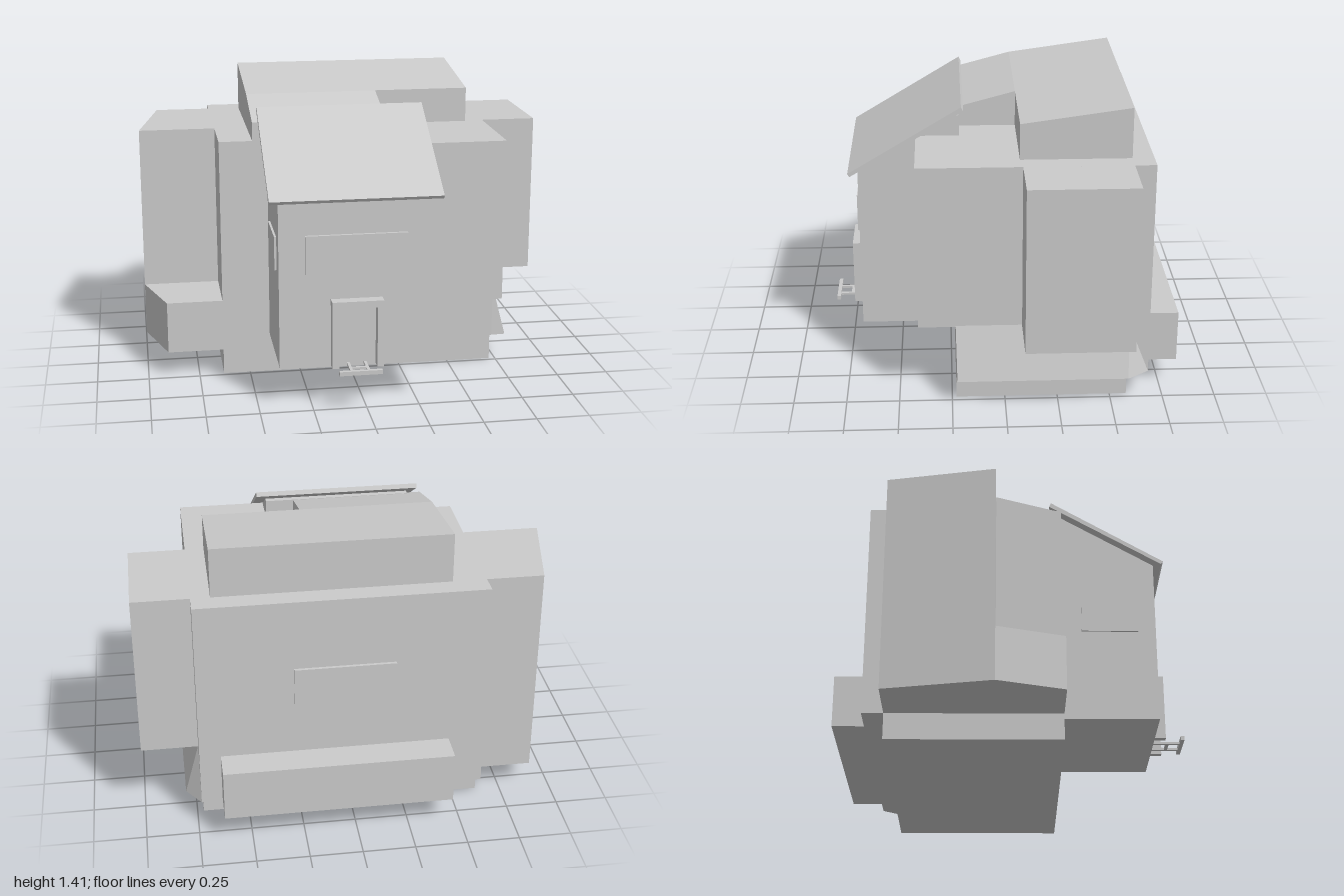
import * as THREE from 'three';

export function createModel() {
  const model = new THREE.Group();
  const material = new THREE.MeshStandardMaterial({ color: 0xcccccc, flatShading: true });

  const add = (name, geometry) => {
    const mesh = new THREE.Mesh(geometry, material);
    mesh.name = name;
    model.add(mesh);
    return mesh;
  };

  // Box given by its extents on each axis
  const box = (name, x0, x1, y0, y1, z0, z1) => {
    const g = new THREE.BoxGeometry(x1 - x0, y1 - y0, z1 - z0);
    return add(name, g.translate((x0 + x1) / 2, (y0 + y1) / 2, (z0 + z1) / 2));
  };

  // Floor plan of [x, z] corners raised from y0 to y1
  const raisePlan = (plan, y0, y1) => {
    const shape = new THREE.Shape(plan.map(([x, z]) => new THREE.Vector2(x, -z)));
    return new THREE.ExtrudeGeometry(shape, { depth: y1 - y0, bevelEnabled: false })
      .rotateX(-Math.PI / 2).translate(0, y0, 0);
  };

  // Side profile of [z, y] corners stretched from x0 to x1
  const stretchProfile = (profile, x0, x1) => {
    const shape = new THREE.Shape(profile.map(([z, y]) => new THREE.Vector2(-z, y)));
    return new THREE.ExtrudeGeometry(shape, { depth: x1 - x0, bevelEnabled: false })
      .rotateY(Math.PI / 2).translate(x0, 0, 0);
  };

  // Foundation
  box('foundation', -0.63, 0.72, 0.005, 0.14, -0.58, 0.23);

  // Lower storey, flaring outwards to the floor on one side
  const skirt = raisePlan(
    [[-0.63, -0.68], [0.73, -0.68], [0.8, -0.58], [0.8, 0.225], [0.73, 0.23], [-0.63, 0.23]], 0.13, 0.39);
  const p = skirt.attributes.position;
  for (let i = 0; i < p.count; i++) {
    if (p.getY(i) > 0.3) p.setX(i, Math.min(p.getX(i), 0.73));
  }
  skirt.computeVertexNormals();
  add('lowerWalls', skirt);

  // Main walls with the overhanging front bay
  add('mainWalls', raisePlan(
    [[-0.63, -0.68], [0.73, -0.68], [0.73, 0.405], [0.17, 0.405], [0.17, 0.23], [-0.63, 0.23]], 0.385, 1.18));

  // Side wings
  box('leftWing', 0.72, 1, 0.385, 1.18, -0.58, -0.08);
  add('rightWing', raisePlan([[-0.62, -0.58], [-0.9, -0.58], [-1, -0.08], [-0.62, -0.08]], 0.13, 1.18));
  add('rightWingLowFront', raisePlan([[-0.62, -0.08], [-1, -0.08], [-0.9, 0.23], [-0.62, 0.23]], 0.13, 0.385));

  // Low ledge along the back
  box('backLedge', -0.46, 0.63, 0.135, 0.385, -0.83, -0.67);

  // Raised roof: wide at the back, narrow towards the porch
  add('roofBack', stretchProfile([[-0.58, 1.17], [-0.07, 1.17], [-0.07, 1.35], [-0.58, 1.42]], -0.47, 0.64));
  add('roofFront', stretchProfile([[-0.08, 1.17], [0.23, 1.17], [0.23, 1.27], [-0.07, 1.35], [-0.08, 1.35]], -0.47, 0.175));

  // Porch and its sloping roof slab
  add('porch', stretchProfile([[0.2, 0.2], [0.685, 0.2], [0.685, 1.01], [0.23, 1.28], [0.2, 1.28]], -0.4, 0.31));
  add('porchRoof', stretchProfile([[0.72, 0.995], [0.73, 1.01], [0.19, 1.335], [0.18, 1.315]], -0.444, 0.358));

  // Window panels
  box('frontWindow', -0.278, 0.198, 0.65, 0.835, 0.68, 0.7);
  box('backWindow', -0.198, 0.278, 0.65, 0.835, -0.695, -0.67);
  box('porchSideWindow', -0.41, -0.39, 0.65, 0.81, 0.33, 0.6);

  // Door frame
  box('doorJamb', -0.16, -0.128, 0.2, 0.525, 0.68, 0.738);
  box('doorJamb', 0.052, 0.082, 0.2, 0.525, 0.68, 0.738);
  box('doorLintel', -0.128, 0.052, 0.493, 0.525, 0.68, 0.738);

  // Entry step: two rails with crossbars
  for (const x of [-0.085, -0.005]) box('stepRail', x, x + 0.013, 0.2, 0.211, 0.68, 0.82);
  box('stepCrossbar', -0.085, 0.008, 0.2, 0.211, 0.745, 0.76);
  box('stepTread', -0.14, 0.06, 0.2, 0.22, 0.812, 0.83);

  return model;
}
